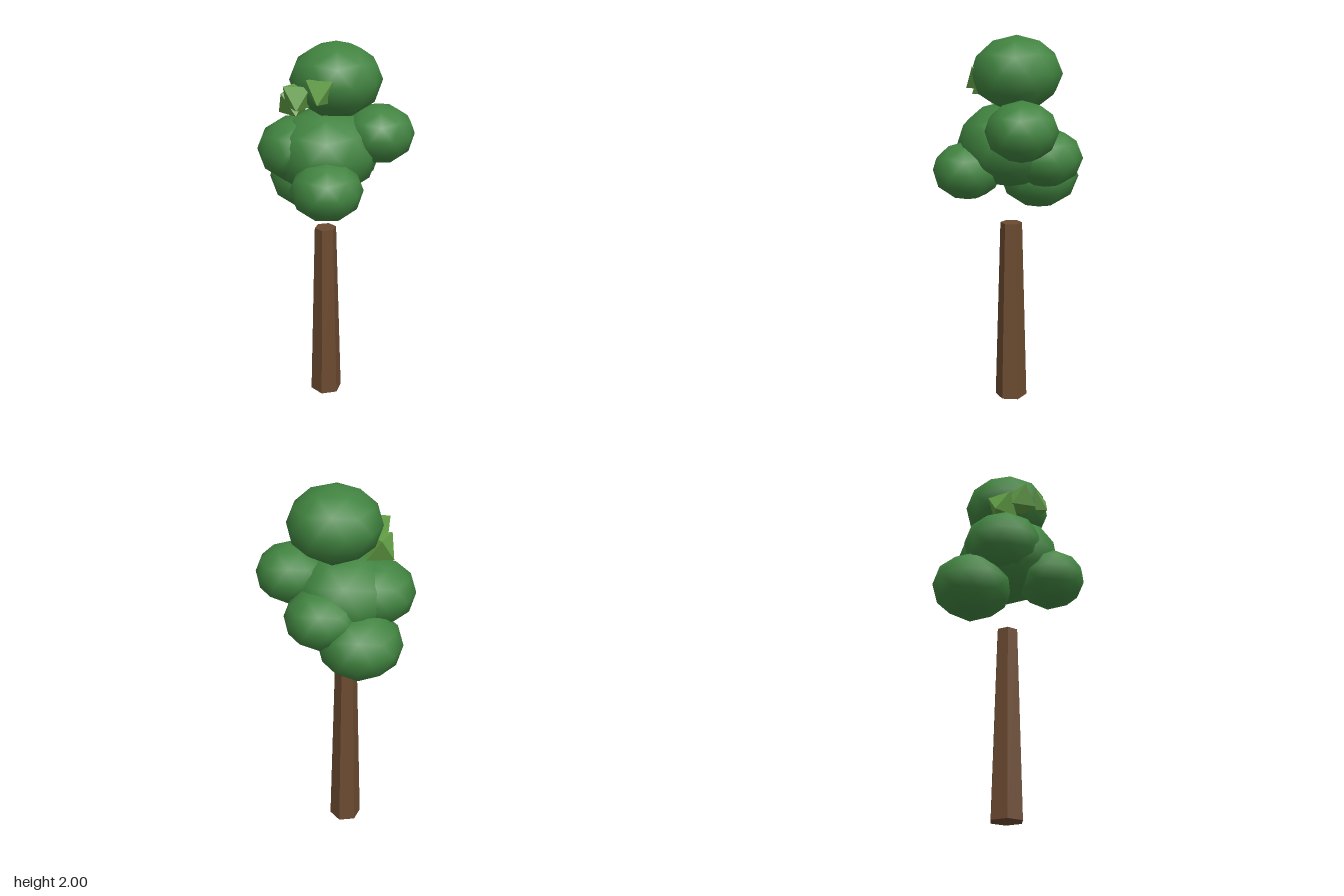
import * as THREE from 'three';

const flat = (name, hex) => {
  const m = new THREE.MeshStandardMaterial({ color: hex });
  m.name = name;
  return m;
};

// Faceted sphere with a corner pointing straight up
function makeBlob() {
  const g = new THREE.IcosahedronGeometry(1, 1);
  g.rotateX(-Math.atan((1 + Math.sqrt(5)) / 2));
  g.rotateY(Math.PI / 2);
  return g;
}

// Octahedron resting on a face
function makeTuft() {
  const g = new THREE.OctahedronGeometry(1, 0);
  g.rotateY(-Math.PI / 4);
  g.rotateX(-Math.atan(Math.SQRT2));
  return g;
}

export function createModel() {
  const tree = new THREE.Group();
  tree.name = 'tree';
  const bark = flat('bark brown', 0x6b4a30);
  const leaf = flat('leaf green', 0x418440);
  const bright = flat('bright leaf green', 0x629f45);

  const add = (name, geo, mat, x, y, z) => {
    const mesh = new THREE.Mesh(geo, mat);
    mesh.name = name;
    mesh.position.set(x, y, z);
    tree.add(mesh);
    return mesh;
  };

  // Tapered six-sided trunk
  const trunkGeo = new THREE.CylinderGeometry(0.059, 0.088, 1.01, 6).toNonIndexed();
  trunkGeo.computeVertexNormals();
  add('trunk', trunkGeo, bark, -0.053, 0.505, -0.017);

  // Foliage: name, x, y, z, radius, half height
  const blob = makeBlob();
  [
    ['topFoliage', -0.003, 1.808, -0.048, 0.237, 0.192],
    ['middleFoliage', -0.05, 1.44, -0.01, 0.28, 0.23],
    ['leftFoliage', 0.213, 1.535, -0.09, 0.186, 0.155],
    ['rightFoliage', -0.185, 1.455, 0.025, 0.213, 0.175],
    ['frontFoliage', 0.024, 1.305, 0.208, 0.185, 0.155],
    ['backRightFoliage', -0.188, 1.248, -0.16, 0.216, 0.178],
    ['backFoliage', -0.003, 1.375, -0.205, 0.192, 0.157],
  ].forEach(([name, x, y, z, r, h]) => add(name, blob, leaf, x, y, z).scale.set(r, h, r));

  // Bright tufts curling round the top: x, y, z, turn
  const tuft = makeTuft();
  [
    [-0.207, 1.695, 0.03, 0.5],
    [-0.148, 1.748, 0.122, 0.2],
    [-0.02, 1.787, 0.137, 0],
  ].forEach(([x, y, z, turn], i) => {
    const m = add('leafTuft' + (i + 1), tuft, bright, x, y, z);
    m.scale.setScalar(0.097);
    m.rotation.y = turn;
  });

  return tree;
}
